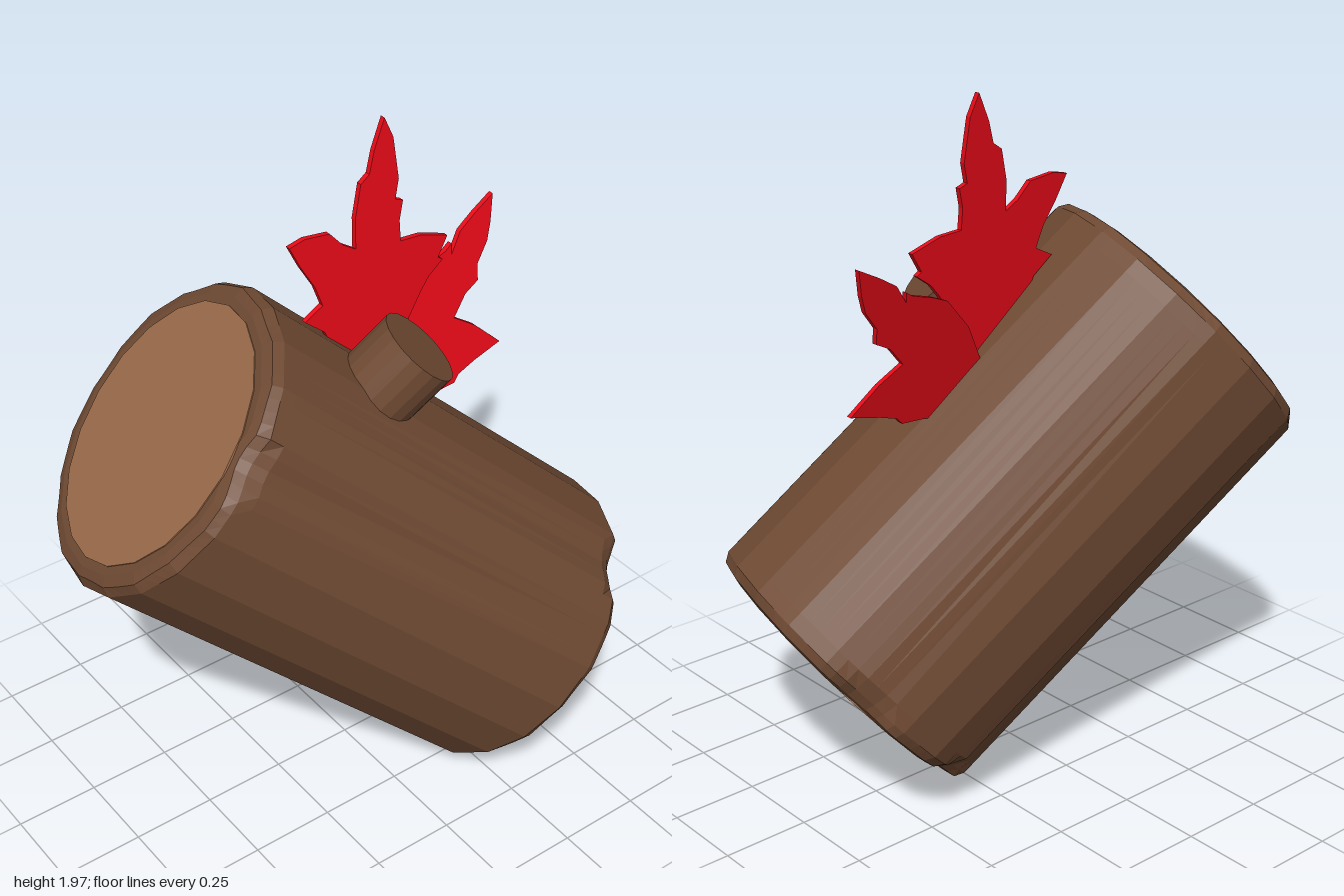
import * as THREE from 'three';

const SIDES = 20, RADIUS = 0.458, HALF = 0.70;
const CENTRE = new THREE.Vector3(0, 0.818, 0);
const AXIS = new THREE.Vector3(-0.32, 0.925, 1.0).normalize();

const material = (color, extra = {}) =>
  new THREE.MeshStandardMaterial({ color, flatShading: true, ...extra });

function addMesh(parent, name, geometry, mat) {
  const mesh = new THREE.Mesh(geometry, mat);
  mesh.name = name;
  parent.add(mesh);
  return mesh;
}

// Faceted bark with softened, chipped rims; chips are given in log space
function barkGeometry(chips) {
  const profile = [
    [0.37, -HALF], [0.41, -HALF], [0.444, -HALF + 0.008], [RADIUS, -HALF + 0.035], [RADIUS, -HALF + 0.08],
    [RADIUS, HALF - 0.08], [RADIUS, HALF - 0.035], [0.444, HALF - 0.008], [0.41, HALF], [0.37, HALF],
  ].map(([r, y]) => new THREE.Vector2(r, y));
  const geo = new THREE.LatheGeometry(profile, SIDES * 4);
  const pos = geo.attributes.position;
  const p = new THREE.Vector3();
  const step = (Math.PI * 2) / SIDES;
  for (let i = 0; i < pos.count; i++) {
    p.fromBufferAttribute(pos, i);
    const r = Math.hypot(p.x, p.z);
    const angle = Math.atan2(p.x, p.z) + Math.PI * 2;
    // flatten the circle into a polygon
    let k = Math.cos(step / 2) / Math.cos((angle % step) - step / 2);
    // slightly uneven worn rim
    const end = Math.abs(p.y) > HALF - 0.02 && r > 0.42;
    if (end) k *= 1 - 0.008 * (1 + Math.sin(angle * 7 + Math.sign(p.y)));
    // chips dent the rim inwards
    if (r > 0.4) for (const c of chips) {
      const d = p.distanceTo(c) / 0.1;
      if (d < 1) k *= 1 - 0.09 * (1 - d * d);
    }
    pos.setXYZ(i, p.x * k, p.y, p.z * k);
  }
  return geo;
}

// Thin upright leaf: outline holds [-z, y] pairs, x leans with height
function leafGeometry(outline, baseX, baseY, lean) {
  const shape = new THREE.Shape(outline.map(([u, v]) => new THREE.Vector2(u, v)));
  const geo = new THREE.ExtrudeGeometry(shape, { depth: 0.016, bevelEnabled: false });
  geo.translate(0, 0, -0.008);
  geo.rotateY(Math.PI / 2);
  const pos = geo.attributes.position;
  for (let i = 0; i < pos.count; i++) {
    pos.setX(i, pos.getX(i) + baseX + lean * (pos.getY(i) - baseY));
  }
  geo.computeVertexNormals();
  return geo;
}

export function createModel() {
  const model = new THREE.Group();
  model.name = 'log';
  const bark = material(0x6f4a33);
  const wood = material(0x9c6c4b);
  const red = material(0xe60a17, { side: THREE.DoubleSide });

  // Leaning trunk
  const trunk = new THREE.Group();
  trunk.name = 'trunk';
  trunk.position.copy(CENTRE);
  trunk.quaternion.setFromUnitVectors(new THREE.Vector3(0, 1, 0), AXIS);
  model.add(trunk);
  trunk.updateMatrixWorld(true);
  const chips = [
    [0.24, 1.4, 0.5], [0.2, 0.06, -0.2], [-0.22, 0.13, -0.43],
    [0.46, 0.64, -0.66], [-0.22, 0.45, -0.72],
  ].map((c) => trunk.worldToLocal(new THREE.Vector3(...c)));
  addMesh(trunk, 'bark', barkGeometry(chips), bark);

  // Pale cut wood at both ends
  addMesh(trunk, 'endGrain', new THREE.CylinderGeometry(0.385, 0.385, HALF * 2 + 0.006, SIDES), wood);

  // Sawn-off branch, square to the trunk
  const tip = new THREE.Vector3(0.14, 1.455, -0.145);
  const rel = tip.clone().sub(CENTRE);
  const out = rel.addScaledVector(AXIS, -rel.dot(AXIS)).normalize();
  const stub = addMesh(model, 'branchStub', new THREE.CylinderGeometry(0.122, 0.122, 0.25, 20), bark);
  stub.quaternion.setFromUnitVectors(new THREE.Vector3(0, 1, 0), out);
  stub.position.copy(tip).addScaledVector(out, -0.125);

  // Two jagged leaves growing from the top of the trunk
  const upper = [
    [0.02, 1.36], [-0.02, 1.46], [-0.08, 1.51], [-0.02, 1.54], [-0.04, 1.6], [-0.08, 1.67], [-0.11, 1.735],
    [-0.06, 1.745], [0.02, 1.735], [0.06, 1.69], [0.1, 1.665], [0.105, 1.75], [0.13, 1.84], [0.16, 1.86],
    [0.18, 1.92], [0.22, 2.0], [0.245, 1.94], [0.255, 1.82], [0.24, 1.765], [0.265, 1.755], [0.25, 1.7],
    [0.25, 1.64], [0.32, 1.635], [0.41, 1.605], [0.375, 1.55], [0.39, 1.54], [0.34, 1.505], [0.31, 1.47],
    [0.26, 1.4], [0.17, 1.25],
  ];
  const lower = [
    [0.16, 1.24], [0.24, 1.38], [0.33, 1.475], [0.38, 1.495], [0.45, 1.515], [0.475, 1.53], [0.47, 1.5],
    [0.51, 1.555], [0.57, 1.59], [0.64, 1.625], [0.62, 1.55], [0.6, 1.5], [0.555, 1.445], [0.55, 1.4],
    [0.5, 1.375], [0.45, 1.32], [0.52, 1.275], [0.6, 1.2], [0.5, 1.175], [0.44, 1.155], [0.42, 1.135],
    [0.34, 1.13], [0.3, 1.12],
  ];
  addMesh(model, 'upperLeaf', leafGeometry(upper, -0.085, 1.6, -0.11), red);
  addMesh(model, 'lowerLeaf', leafGeometry(lower, -0.06, 1.2, -0.25), red);
  return model;
}
